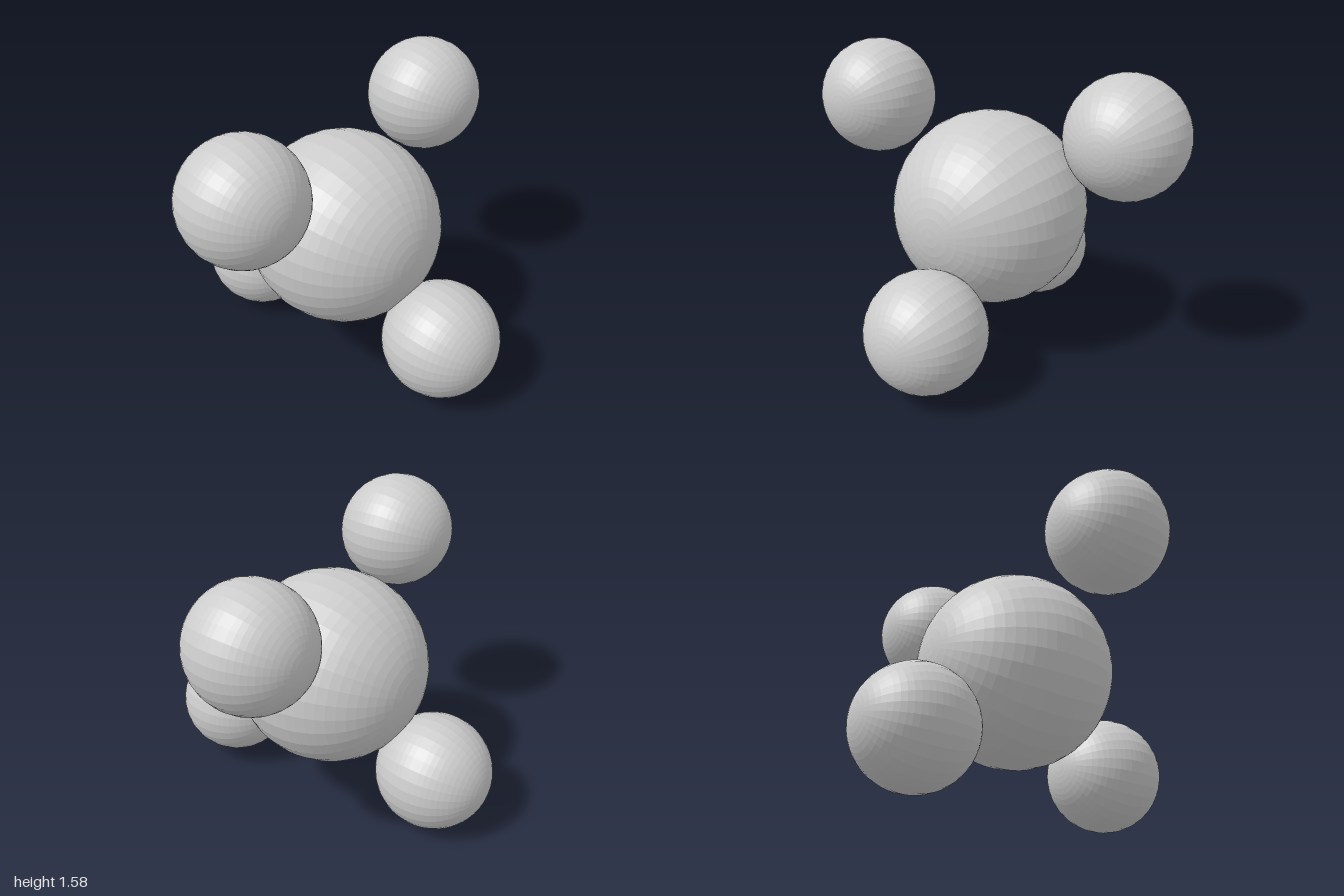
import * as THREE from 'three';

export function createModel() {
  const model = new THREE.Group();
  const material = new THREE.MeshStandardMaterial({ color: 0xcccccc, flatShading: true });

  // Faceted ball with its poles along z
  const addBall = (name, radius, x, y, z) => {
    const geometry = new THREE.SphereGeometry(radius, 32, 32).rotateX(Math.PI / 2);
    const ball = new THREE.Mesh(geometry, material);
    ball.name = name;
    ball.position.set(x, y, z);
    model.add(ball);
  };

  // Large central atom
  addBall('centralAtom', 0.507, -0.013, 0.767, -0.016);

  // Four smaller atoms in a tetrahedral arrangement
  const r = 0.304;
  addBall('upperRightAtom', r, -0.696, 1.279, 0.059);
  addBall('upperLeftAtom', r, 0.694, 1.244, -0.125);
  addBall('lowerFrontAtom', r, 0.06, 0.341, 0.62);
  addBall('lowerBackAtom', r, -0.103, 0.304, -0.62);

  return model;
}
